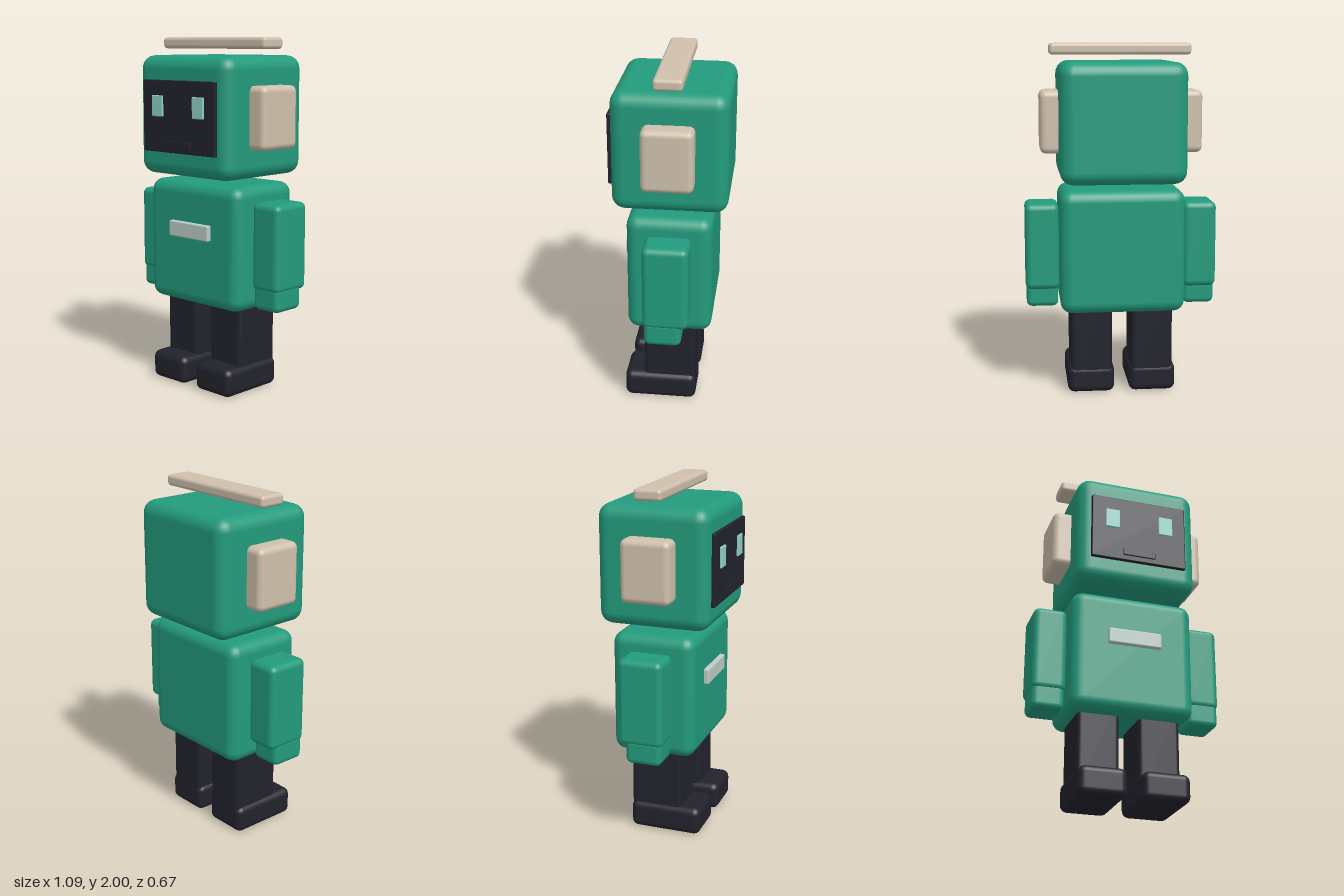
import * as THREE from 'three';
import { RoundedBoxGeometry } from 'three/addons/geometries/RoundedBoxGeometry.js';

const material = (name, color) => {
  const m = new THREE.MeshStandardMaterial({ color });
  m.name = name;
  return m;
};

export function createModel() {
  const green = material('green shell', 0x239b7c);
  const dark = material('dark navy', 0x22222d);
  const beige = material('beige trim', 0xcfc0ac);
  const aqua = material('aqua eyes', 0x8fd2c7);
  const silver = material('pale silver', 0xbccdc6);

  const robot = new THREE.Group();
  robot.name = 'robot';

  // Rounded block given by its [min, max] extent on each axis
  function block(name, mat, [x0, x1], [y0, y1], [z0, z1], radius) {
    const geo = new RoundedBoxGeometry(x1 - x0, y1 - y0, z1 - z0, 3, radius);
    const mesh = new THREE.Mesh(geo, mat);
    mesh.name = name;
    mesh.position.set((x0 + x1) / 2, (y0 + y1) / 2, (z0 + z1) / 2);
    robot.add(mesh);
  }

  // The same block on both sides; x is measured outwards from the middle
  function pair(name, mat, [x0, x1], y, z, radius) {
    block('left' + name, mat, [x0, x1], y, z, radius);
    block('right' + name, mat, [-x1, -x0], y, z, radius);
  }

  // Head with floating bar and ears
  block('head', green, [-0.353, 0.353], [1.228, 1.9], [-0.335, 0.305], 0.075);
  block('headBar', beige, [-0.4, 0.4], [1.936, 2], [-0.095, 0.063], 0.02);
  pair('Ear', beige, [0.3, 0.457], [1.39, 1.74], [-0.157, 0.127], 0.035);

  // Face
  block('faceScreen', dark, [-0.282, 0.282], [1.363, 1.765], [0.28, 0.325], 0.006);
  pair('Eye', aqua, [0.117, 0.202], [1.562, 1.68], [0.318, 0.335], 0.005);
  block('mouth', dark, [-0.096, 0.096], [1.394, 1.432], [0.318, 0.332], 0.004);

  // Body
  block('torso', green, [-0.353, 0.353], [0.488, 1.19], [-0.254, 0.226], 0.065);
  block('chestPlate', silver, [-0.154, 0.154], [0.876, 0.965], [0.2, 0.254], 0.008);

  // Limbs
  pair('Arm', green, [0.355, 0.547], [0.612, 1.104], [-0.141, 0.112], 0.035);
  pair('Hand', green, [0.361, 0.542], [0.504, 0.65], [-0.102, 0.104], 0.032);
  pair('Leg', dark, [0.056, 0.293], [0.08, 0.56], [-0.162, 0.135], 0.025);
  pair('Foot', dark, [0.042, 0.312], [0, 0.162], [-0.165, 0.251], 0.04);

  return robot;
}
